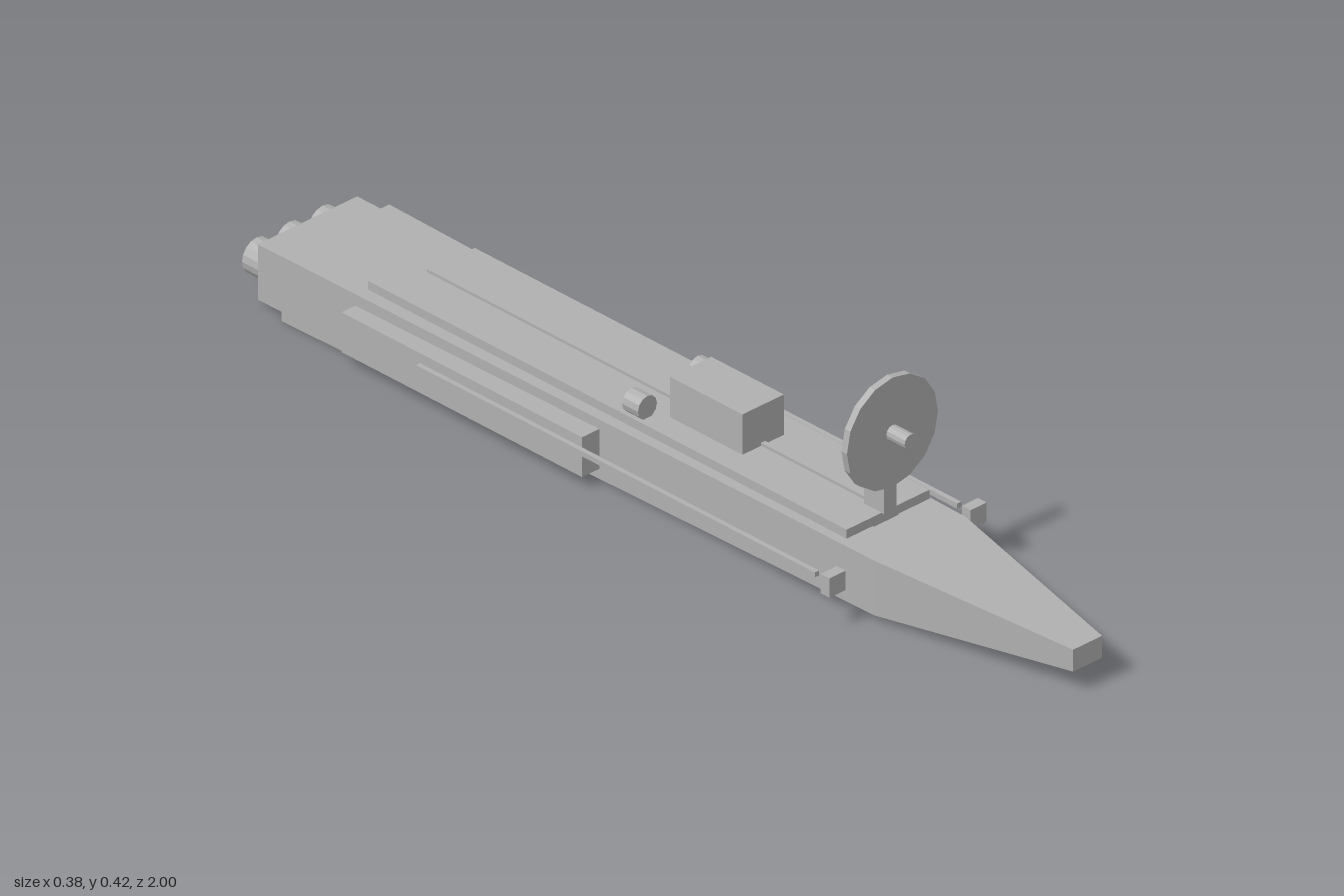
import * as THREE from 'three';

export function createModel() {
  const group = new THREE.Group();
  const grey = new THREE.MeshStandardMaterial({ color: 0xb0b0b0, flatShading: true });
  grey.name = 'hull grey';

  const add = (name, geometry) => {
    const mesh = new THREE.Mesh(geometry, grey);
    mesh.name = name;
    group.add(mesh);
    return mesh;
  };
  // Box given by its extents along each axis
  const box = (name, x0, x1, y0, y1, z0, z1) =>
    add(name, new THREE.BoxGeometry(x1 - x0, y1 - y0, z1 - z0))
      .position.set((x0 + x1) / 2, (y0 + y1) / 2, (z0 + z1) / 2);
  // Cylinder lying along z
  const drum = (name, r, x, y, z0, z1, sides) =>
    add(name, new THREE.CylinderGeometry(r, r, z1 - z0, sides).rotateX(Math.PI / 2))
      .position.set(x, y, (z0 + z1) / 2);

  // Tapered hull: rectangular sections [z, half width, bottom, top]
  const sections = [
    [1, 0.035, 0.045, 0.089],
    [0.58, 0.11, 0.013, 0.123],
    [-0.885, 0.13, 0.002, 0.132],
  ];
  const points = [];
  const index = [];
  for (const [z, w, b, t] of sections) points.push(w, b, z, w, t, z, -w, t, z, -w, b, z);
  for (let s = 0; s < sections.length - 1; s++) {
    for (let i = 0; i < 4; i++) {
      const a = s * 4 + i, b = s * 4 + (i + 1) % 4;
      index.push(a, a + 4, b, b, a + 4, b + 4);
    }
  }
  const last = (sections.length - 1) * 4;
  index.push(0, 1, 2, 0, 2, 3, last, last + 2, last + 1, last, last + 3, last + 2);
  const hull = new THREE.BufferGeometry();
  hull.setAttribute('position', new THREE.Float32BufferAttribute(points, 3));
  hull.setIndex(index);
  const flatHull = hull.toNonIndexed();
  flatHull.computeVertexNormals();
  add('hull', flatHull);

  // Stern block and engines
  box('sternBlock', -0.12, 0.12, 0.012, 0.123, -0.955, -0.88);
  for (const x of [-0.08, 0, 0.08]) drum('engine', 0.035, x, 0.067, -1, -0.95, 16);

  // Upper deck with its support and centre rail
  box('deckSupport', -0.03, 0.03, 0.115, 0.132, -0.6, 0.495);
  box('deck', -0.1, 0.1, 0.13, 0.148, -0.7, 0.5);
  box('deckRail', -0.005, 0.005, 0.147, 0.154, -0.65, 0.5);
  box('bridge', -0.05, 0.05, 0.147, 0.229, 0.005, 0.187);

  // Dish antenna
  box('dishMast', -0.015, 0.015, 0.147, 0.289, 0.455, 0.505);
  drum('dish', 0.11, 0, 0.308, 0.497, 0.511, 16);
  drum('dishFeed', 0.015, 0, 0.308, 0.508, 0.557, 12);

  // Paired fittings on both sides
  for (const s of [-1, 1]) {
    const sideBox = (name, x0, x1, ...rest) =>
      box(name, Math.min(s * x0, s * x1), Math.max(s * x0, s * x1), ...rest);
    drum('deckDrum', 0.023, s * 0.08, 0.169, -0.06, -0.02, 12);
    sideBox('sidePod', 0.11, 0.161, 0.028, 0.108, -0.703, -0.1);
    sideBox('sideRod', 0.167, 0.177, 0.083, 0.093, -0.5, 0.5);
    sideBox('rodTip', 0.151, 0.19, 0.068, 0.107, 0.528, 0.55);
  }
  return group;
}
